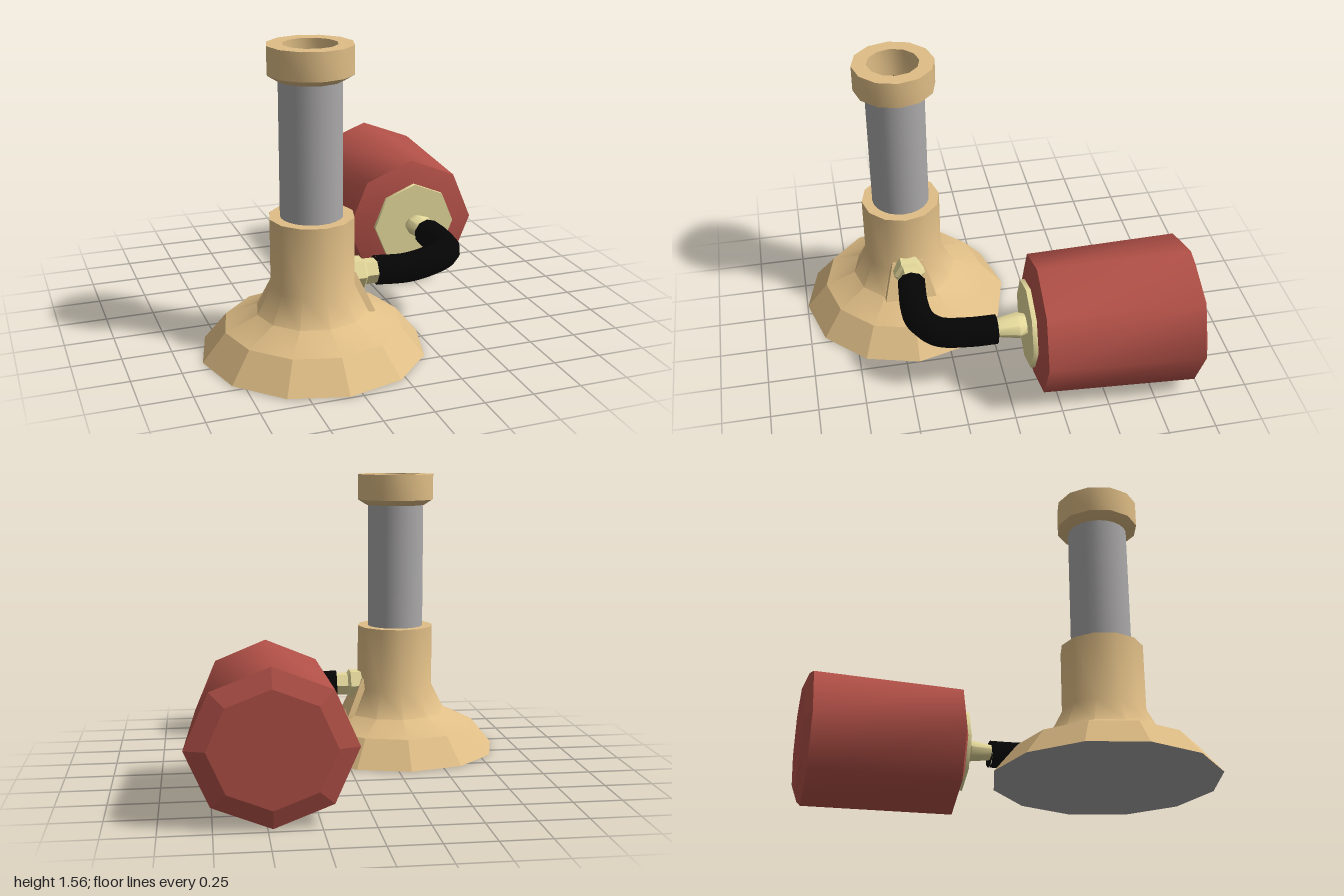
import * as THREE from 'three';
import { toCreasedNormals } from 'three/addons/utils/BufferGeometryUtils.js';

const material = (name, color) => {
  const m = new THREE.MeshStandardMaterial({ color });
  m.name = name;
  return m;
};

// Turned shape from [radius, height] pairs, bottom to top
const turned = (profile, sides, crease) =>
  toCreasedNormals(new THREE.LatheGeometry(profile.map(([r, y]) => new THREE.Vector2(r, y)), sides), crease);

export function createModel() {
  const tan = material('tan', 0xe0be86);
  const steel = material('steel', 0xaba9a9);
  const red = material('red', 0xb35148);
  const brass = material('pale brass', 0xe6da9c);
  const black = material('black', 0x050505);

  const model = new THREE.Group();
  const add = (parent, name, geometry, mat, x = 0, y = 0, z = 0) => {
    const mesh = new THREE.Mesh(geometry, mat);
    mesh.name = name;
    mesh.position.set(x, y, z);
    parent.add(mesh);
    return mesh;
  };

  // Burner stand
  const burner = new THREE.Group();
  burner.name = 'burner';
  burner.position.set(-0.315, 0, 0.43);
  model.add(burner);
  add(burner, 'baseSkirt', turned([[0.567, 0.006], [0.45, 0.15]], 12, 0.1), tan);
  add(burner, 'neck', turned(
    [[0.45, 0.15], [0.285, 0.22], [0.213, 0.36], [0.213, 0.71], [0.15, 0.71]], 12, 0.75), tan);
  add(burner, 'barrel', new THREE.CylinderGeometry(0.155, 0.155, 0.72, 24, 1, true), steel, 0, 1.05, 0);
  add(burner, 'collar', turned(
    [[0.15, 1.39], [0.165, 1.39], [0.213, 1.42], [0.213, 1.56], [0.135, 1.56], [0.135, 1.4]], 12, 0.6), tan);
  const bore = add(burner, 'bore', new THREE.CircleGeometry(0.137, 24), black, 0, 1.402, 0);
  bore.rotation.x = -Math.PI / 2;
  const underside = add(burner, 'underside', new THREE.CircleGeometry(0.567, 12), steel, 0, 0.006, 0);
  underside.rotation.x = Math.PI / 2;

  // Wedge on the neck that carries the inlet, narrowing toward its top
  const wedge = new THREE.BoxGeometry(0.2, 0.2, 0.28);
  const wp = wedge.attributes.position;
  for (let i = 0; i < wp.count; i++) {
    if (wp.getY(i) > 0) {
      wp.setZ(i, wp.getZ(i) * 0.6);
      if (wp.getX(i) > 0) wp.setX(i, 0.015);
    }
  }
  add(model, 'inletWedge', toCreasedNormals(wedge, 0.1), tan, -0.13, 0.315, 0.43);

  // Inlet connector
  const inlet = turned(
    [[0, -0.04], [0.085, -0.04], [0.085, 0.045], [0.065, 0.06], [0.065, 0.13], [0, 0.13]], 6, 0.1);
  inlet.rotateZ(-Math.PI / 2);
  add(model, 'inletConnector', inlet, brass, -0.1, 0.375, 0.43);

  // Hose
  const path = new THREE.CatmullRomCurve3([
    [0.02, 0.375, 0.43], [0.19, 0.37, 0.44], [0.34, 0.39, 0.425],
    [0.445, 0.395, 0.35], [0.473, 0.39, 0.2], [0.473, 0.385, 0.05],
  ].map((p) => new THREE.Vector3(...p)));
  add(model, 'hose', new THREE.TubeGeometry(path, 28, 0.077, 10), black);
  [[0.02, 0.375, 0.43, -Math.PI / 2], [0.473, 0.385, 0.05, Math.PI]].forEach(([x, y, z, turn]) => {
    add(model, 'hoseEnd', new THREE.CircleGeometry(0.077, 10), black, x, y, z).rotation.y = turn;
  });

  // Gas canister lying on its side, axis pointing backward
  const canister = new THREE.Group();
  canister.name = 'canister';
  canister.position.set(0.456, 0.378, -0.13);
  canister.rotation.y = -0.024;
  model.add(canister);

  // Tank sections: the back is slightly wider than tall
  const tankPart = (name, profile, crease) => {
    const part = turned(profile, 8, crease);
    part.rotateX(-Math.PI / 2);
    const p = part.attributes.position;
    for (let i = 0; i < p.count; i++) {
      const s = -p.getZ(i) * 0.04;
      p.setXY(i, p.getX(i) * (1 + s), p.getY(i) * (1 - s));
    }
    add(canister, name, part, red);
  };
  tankPart('tank', [[0, 0], [0.25, 0], [0.362, 0.03], [0.388, 0.83]], 0.85);
  tankPart('tankBottom', [[0.388, 0.83], [0.29, 0.866], [0, 0.866]], 0.1);

  const plate = new THREE.CylinderGeometry(0.23, 0.23, 0.04, 8);
  plate.rotateX(Math.PI / 2);
  add(canister, 'valvePlate', toCreasedNormals(plate, 0.85), brass, 0.004, 0.007, 0.005);

  // Flattened valve nozzle between plate and hose
  const nozzle = turned([[0.06, 0], [0.078, 0.05], [0.052, 0.19], [0, 0.19]], 8, 0.85);
  nozzle.rotateX(Math.PI / 2);
  nozzle.scale(1, 0.75, 1);
  add(canister, 'valveNozzle', nozzle, brass, 0.015, 0.012, 0.015);

  return model;
}
